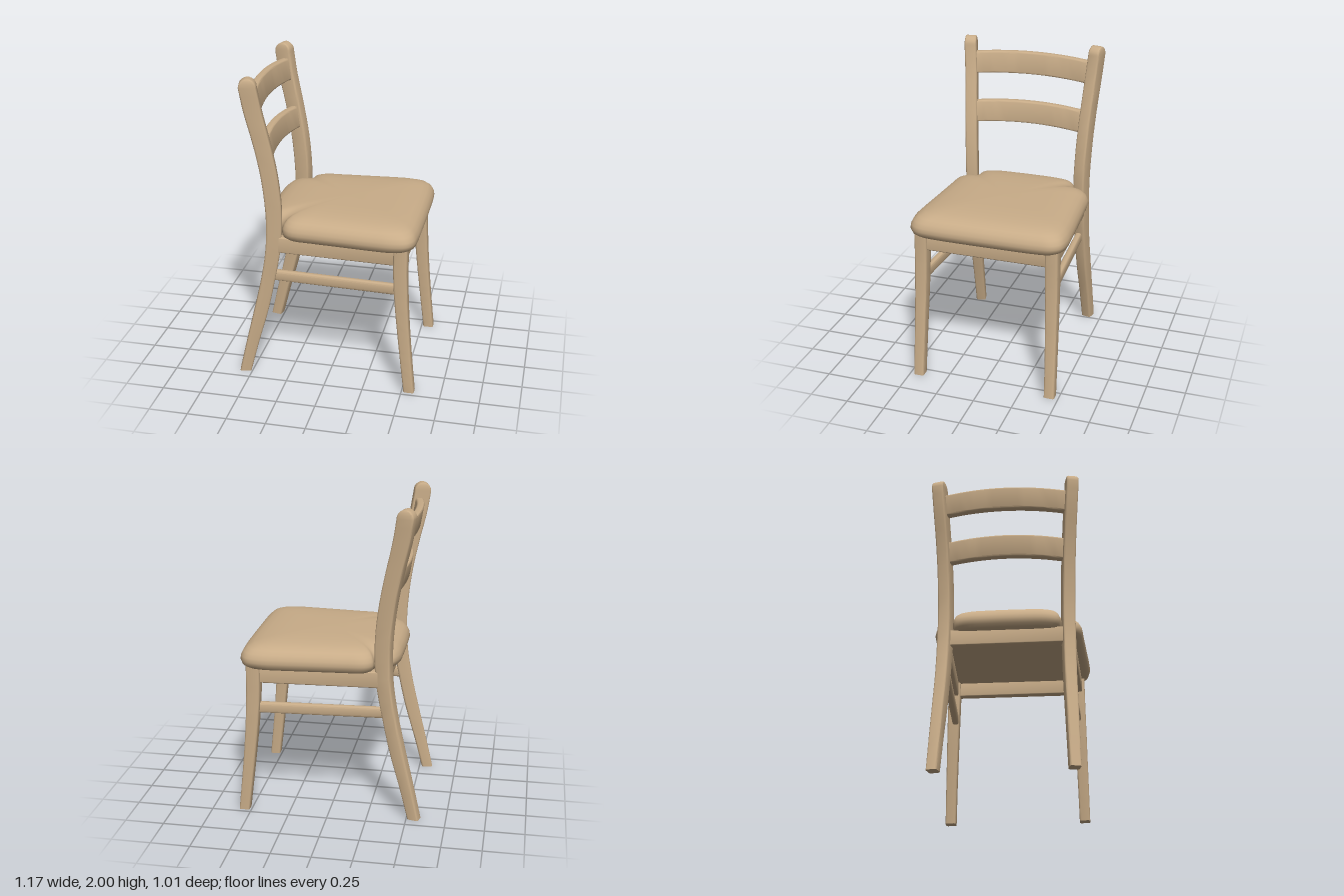
import * as THREE from 'three';
import { toCreasedNormals } from 'three/addons/utils/BufferGeometryUtils.js';

const V = (x, y, z) => new THREE.Vector3(x, y, z);

// Skin between equal-length rings, closed at both ends; faces always point outwards
function loft(rings, crease = 0.6) {
  const n = rings[0].length, pts = rings.flat(), tris = [];
  for (let i = 0; i < rings.length - 1; i++) {
    for (let j = 0; j < n; j++) {
      const a = i * n + j, b = i * n + (j + 1) % n;
      tris.push([a, b, b + n], [a, b + n, a + n]);
    }
  }
  const cap = (ring, start, flip) => {
    const c = pts.length;
    pts.push(ring.reduce((s, p) => s.add(p), V(0, 0, 0)).divideScalar(n));
    for (let j = 0; j < n; j++) {
      const a = start + j, b = start + (j + 1) % n;
      tris.push(flip ? [c, b, a] : [c, a, b]);
    }
  };
  cap(rings[0], 0, true);
  cap(rings[rings.length - 1], (rings.length - 1) * n, false);
  const volume = tris.reduce((s, [a, b, c]) => s + pts[a].dot(V(0, 0, 0).crossVectors(pts[b], pts[c])), 0);
  const geo = new THREE.BufferGeometry().setFromPoints(pts);
  geo.setIndex(tris.flatMap(([a, b, c]) => (volume < 0 ? [a, c, b] : [a, b, c])));
  return toCreasedNormals(geo, crease);
}

// Rounded rectangle as [u, v] pairs
function roundRect(w, h, r) {
  const out = [];
  [[1, 1], [-1, 1], [-1, -1], [1, -1]].forEach(([sx, sy], q) => {
    for (let k = 0; k <= 3; k++) {
      const a = (q + k / 3) * Math.PI / 2;
      out.push([sx * (w / 2 - r) + r * Math.cos(a), sy * (h / 2 - r) + r * Math.sin(a)]);
    }
  });
  return out;
}

// Straight horizontal rail from a to b
function beam(a, b, width, height, r) {
  const dir = b.clone().sub(a).normalize(), side = V(-dir.z, 0, dir.x);
  const ring = p => roundRect(width, height, r).map(([u, v]) => p.clone().addScaledVector(side, u).add(V(0, v, 0)));
  return loft([ring(a), ring(b)]);
}

// Leg from rows [y, back x, front x, centre z, thickness], turned by angle in plan
function leg(rows, side, angle, roundTop) {
  const shape = new THREE.CatmullRomCurve3(rows.map(([y, b, f]) => V((b + f) / 2, y, f - b)));
  const depth = new THREE.CatmullRomCurve3(rows.map(([y, , , z, t]) => V(z, y, t)));
  const c = Math.cos(angle), s = Math.sin(angle), rings = [];
  const ringAt = (x, y, z, w, t) => roundRect(w, t, Math.min(0.012, w * 0.3))
    .map(([u, v]) => V(x + u * c + v * s, y, side * (z - u * s + v * c)));
  for (let i = 0; i <= 28; i++) {
    const p = shape.getPoint(i / 28), q = depth.getPoint(i / 28);
    rings.push(ringAt(p.x, p.y, q.x, p.z, q.z));
  }
  if (roundTop) {
    const p = shape.getPoint(1), q = depth.getPoint(1);
    for (let k = 1; k <= 7; k++) {
      const a = k / 7 * 1.45;
      const t = q.z - 0.016 * (1 - Math.cos(a));
      rings.push(ringAt(p.x, p.y + (2 - p.y) * Math.sin(a) / Math.sin(1.45), q.x, p.z * Math.cos(a), t));
    }
  }
  return loft(rings);
}

// Back slat, bowed backwards and slightly arched
function slat(x, y, halfLength) {
  const rings = [];
  for (let i = 0; i <= 20; i++) {
    const t = i / 10 - 1;
    rings.push(roundRect(0.048, 0.142, 0.012).map(([u, v]) =>
      V(x + 0.045 * t * t + u - 0.17 * v, y - 0.017 * t * t + v, t * halfLength)));
  }
  return loft(rings);
}

// Padded seat with notches at the rear that fit between the back legs
function cushion() {
  const half = [[-0.435, 0.1], [-0.425, 0.25], [-0.39, 0.325], [-0.31, 0.345], [-0.283, 0.375], [-0.277, 0.42],
    [-0.23, 0.46], [-0.1, 0.474], [0.1, 0.488], [0.3, 0.502], [0.43, 0.505], [0.51, 0.485], [0.55, 0.435],
    [0.563, 0.34], [0.567, 0.15]];
  const loop = [...half, ...half.slice().reverse().map(([x, z]) => [x, -z])];
  const outline = new THREE.CatmullRomCurve3(loop.map(([x, z]) => V(x, 0, z)), true).getPoints(120).slice(0, -1);
  const profile = [[0.3, 0.97], [0.88, 0.968], [0.94, 0.972], [0.98, 0.988], [1, 1.02], [0.992, 1.045], [0.965, 1.072],
    [0.92, 1.093], [0.85, 1.109], [0.75, 1.12], [0.6, 1.128], [0.4, 1.132], [0.15, 1.134]];
  return loft(profile.map(([s, y]) => outline.map(p => V(0.07 + (p.x - 0.07) * s, y, p.z * s))), 1.2);
}

export function createModel() {
  const group = new THREE.Group();
  const wood = new THREE.MeshStandardMaterial({ color: 0xc8ac88 });
  wood.name = 'tan wood';
  const add = (name, geo) => {
    const mesh = new THREE.Mesh(geo, wood);
    mesh.name = name;
    group.add(mesh);
  };

  const rearRows = [
    [0, -0.585, -0.512, 0.405, 0.066], [0.22, -0.535, -0.455, 0.399, 0.069], [0.45, -0.48, -0.39, 0.392, 0.072],
    [0.67, -0.431, -0.342, 0.386, 0.075], [0.88, -0.397, -0.303, 0.384, 0.078], [1.05, -0.388, -0.29, 0.383, 0.078],
    [1.2, -0.393, -0.291, 0.385, 0.078], [1.4, -0.415, -0.312, 0.392, 0.078], [1.6, -0.453, -0.349, 0.403, 0.078],
    [1.8, -0.5, -0.392, 0.417, 0.078], [1.945, -0.523, -0.415, 0.428, 0.078]];
  const frontRows = [
    [0, 0.512, 0.58, 0.441, 0.068], [0.2, 0.488, 0.559, 0.438, 0.07], [0.4, 0.465, 0.54, 0.434, 0.073],
    [0.6, 0.444, 0.525, 0.43, 0.077], [0.8, 0.43, 0.516, 0.426, 0.08], [0.985, 0.427, 0.515, 0.424, 0.082]];

  // Legs, side rails and stretchers, mirrored
  for (const [label, s] of [['left', 1], ['right', -1]]) {
    // the model sits facing +x, so its sides lie along z
    add(label + 'RearLeg', leg(rearRows, s, 0.22, true));
    add(label + 'FrontLeg', leg(frontRows, s, 0, false));
    add(label + 'SideRail', beam(V(-0.35, 0.925, 0.388 * s), V(0.47, 0.925, 0.424 * s), 0.05, 0.105, 0.008));
    add(label + 'Stretcher', beam(V(-0.375, 0.7, 0.372 * s), V(0.475, 0.7, 0.415 * s), 0.042, 0.07, 0.014));
  }

  // Seat frame ends
  add('frontRail', beam(V(0.475, 0.927, -0.42), V(0.475, 0.927, 0.42), 0.05, 0.105, 0.008));
  add('rearRail', beam(V(-0.345, 0.927, -0.38), V(-0.345, 0.927, 0.38), 0.05, 0.105, 0.008));

  add('seat', cushion());

  // Backrest
  add('upperSlat', slat(-0.483, 1.846, 0.41));
  add('lowerSlat', slat(-0.423, 1.528, 0.39));
  return group;
}
